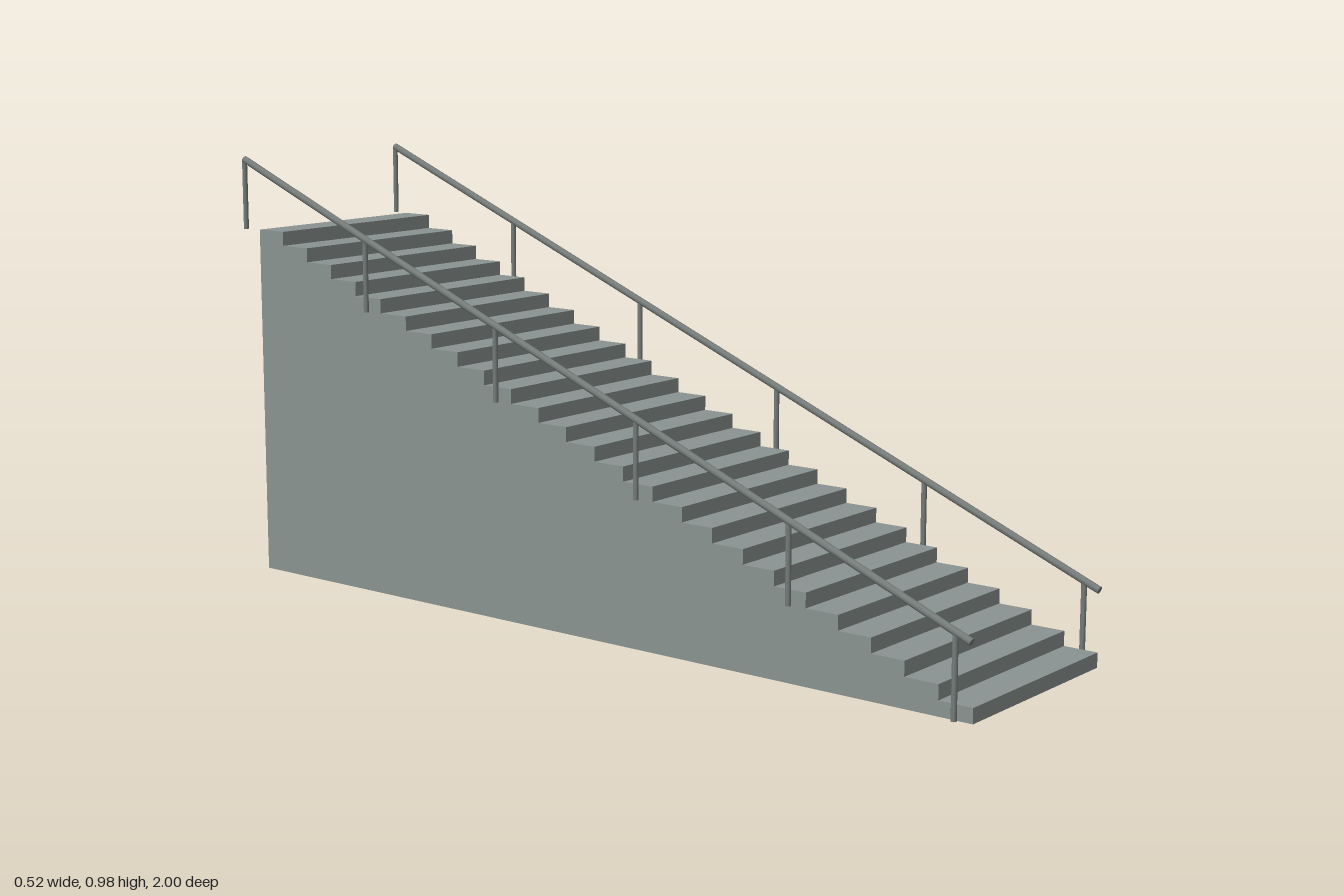
import * as THREE from 'three';

const STEPS = 25, RISE = 0.0325, RUN = 0.0782, WIDTH = 0.488;
const RAIL_X = 0.25, RAIL_HEIGHT = 0.1625;

export function createModel() {
  const stone = new THREE.MeshStandardMaterial({ color: 0x8a9391 });
  stone.name = 'grey stone';
  const metal = new THREE.MeshStandardMaterial({ color: 0x757c7a });
  metal.name = 'dark grey metal';

  const model = new THREE.Group();
  model.name = 'staircase';

  // Solid steps, each reaching down to the ground
  const steps = new THREE.Group();
  steps.name = 'steps';
  for (let i = 0; i < STEPS; i++) {
    const height = RISE * (i + 1);
    const step = new THREE.Mesh(new THREE.BoxGeometry(WIDTH, height, RUN), stone);
    step.name = 'step';
    step.position.set(0, height / 2, 1 - RUN * (i + 0.5));
    steps.add(step);
  }
  model.add(steps);

  // Round bar between two points
  const bar = (name, from, to, radius) => {
    const dir = to.clone().sub(from);
    const mesh = new THREE.Mesh(new THREE.CylinderGeometry(radius, radius, dir.length(), 12), metal);
    mesh.name = name;
    mesh.position.copy(from).add(to).multiplyScalar(0.5);
    mesh.quaternion.setFromUnitVectors(new THREE.Vector3(0, 1, 0), dir.normalize());
    return mesh;
  };

  // Handrails with a post at every fifth step
  for (const side of [1, -1]) {
    const x = side * RAIL_X;
    const railing = new THREE.Group();
    railing.name = side > 0 ? 'leftRailing' : 'rightRailing';
    const start = new THREE.Vector3(x, RAIL_HEIGHT, 0.997);
    const end = new THREE.Vector3(x, STEPS * RISE + RAIL_HEIGHT, -0.994);
    railing.add(bar('handrail', start, end, 0.008));
    for (let i = 0; i <= STEPS; i += 5) {
      const z = 1 - RUN * (i + 0.5);
      const top = start.clone().lerp(end, (start.z - z) / (start.z - end.z));
      railing.add(bar('post', new THREE.Vector3(x, i * RISE, z), top, 0.006));
    }
    model.add(railing);
  }
  return model;
}
